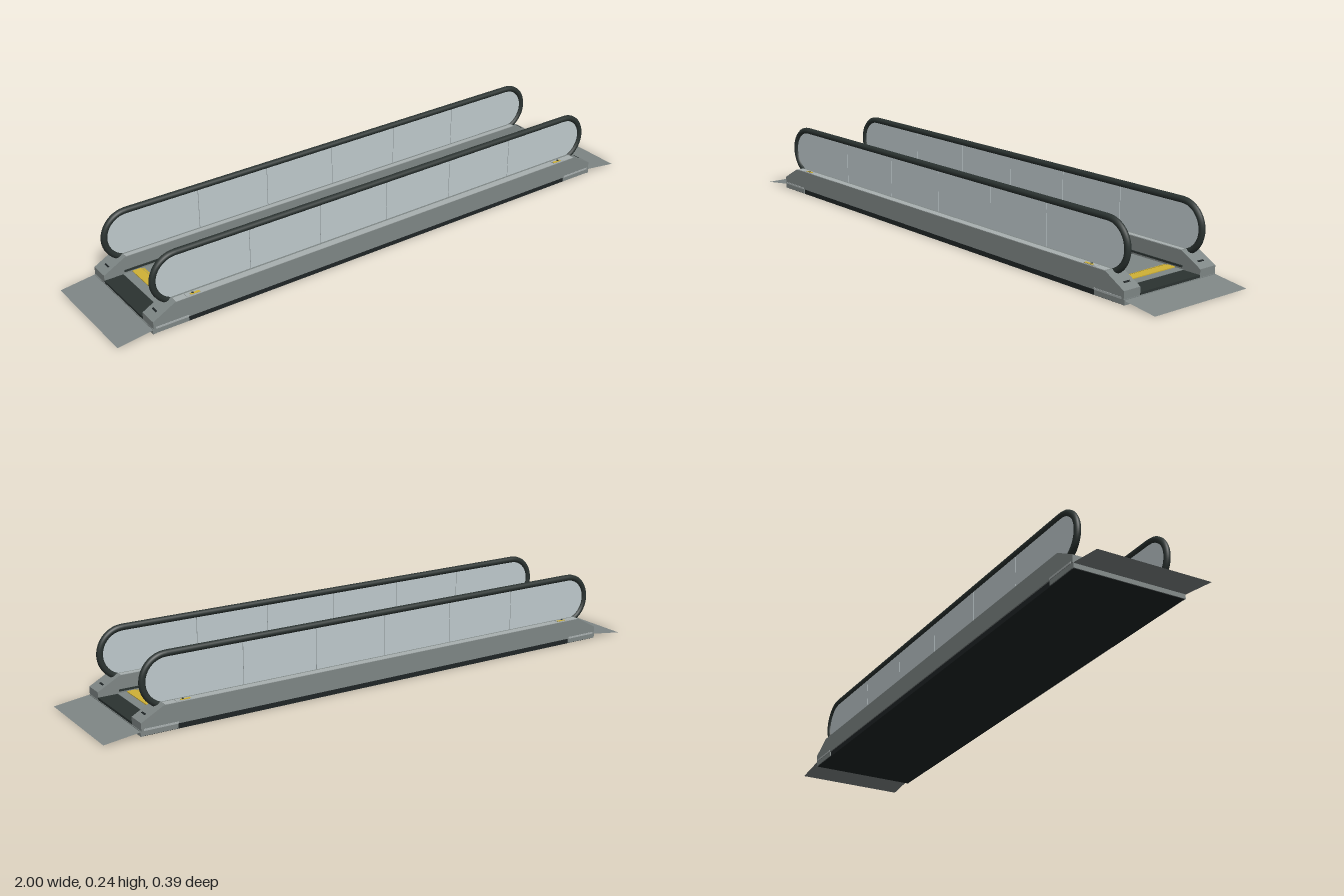
import * as THREE from 'three';

const mat = (name, color) => Object.assign(new THREE.MeshStandardMaterial({ color }), { name });

export function createModel() {
  const group = new THREE.Group();
  const steel = mat('steel', 0x7f8786);
  const trim = mat('light trim', 0xa9b0b0);
  const glass = mat('frosted glass', 0xbfcacd);
  const rubber = mat('black rubber', 0x2b3331);
  const dark = mat('dark underside', 0x1f2526);
  const yellow = mat('safety yellow', 0xd0b236);
  const ramp = mat('ramp steel', 0x7f8786);
  ramp.side = THREE.DoubleSide;

  const add = (parent, name, geometry, material) => {
    const mesh = new THREE.Mesh(geometry, material);
    mesh.name = name;
    parent.add(mesh);
    return mesh;
  };
  // Box given by its lower and upper limits
  const box = (parent, name, material, x0, x1, y0, y1, z0, z1) => {
    const mesh = add(parent, name, new THREE.BoxGeometry(x1 - x0, y1 - y0, z1 - z0), material);
    mesh.position.set((x0 + x1) / 2, (y0 + y1) / 2, (z0 + z1) / 2);
    return mesh;
  };
  const extrude = (shape, depth, curveSegments = 20) =>
    new THREE.ExtrudeGeometry(shape, { depth, bevelEnabled: false, curveSegments });

  // Floor pan and moving belt
  box(group, 'floorPan', dark, -0.88, 0.88, 0, 0.018, -0.188, 0.188);
  box(group, 'belt', steel, -0.755, 0.755, 0.018, 0.027, -0.125, 0.125);

  // Landing at each end
  for (const s of [-1, 1]) {
    const end = new THREE.Group();
    end.name = s > 0 ? 'leftLanding' : 'rightLanding';
    end.rotation.y = s > 0 ? 0 : Math.PI;
    group.add(end);
    box(end, 'combPlate', yellow, 0.755, 0.785, 0.018, 0.03, -0.122, 0.122);
    for (let i = 0; i < 30; i++) {
      const z = -0.116 + i * 0.008;
      box(end, 'combTooth', yellow, 0.745, 0.756, 0.026, 0.029, z - 0.002, z + 0.002);
    }
    box(end, 'landingPlate', steel, 0.785, 0.815, 0.018, 0.027, -0.125, 0.125);
    box(end, 'landingMat', rubber, 0.815, 0.88, 0.018, 0.026, -0.125, 0.125);
    box(end, 'endSill', steel, 0.872, 0.882, 0.001, 0.018, -0.191, 0.191);
    // Thin sloping ramp sheet
    const sheet = new THREE.PlaneGeometry(0.12, 0.384).rotateX(-Math.PI / 2);
    const p = sheet.attributes.position;
    for (let i = 0; i < p.count; i++) p.setY(i, p.getX(i) < 0 ? 0.016 : 0.0005);
    sheet.computeVertexNormals();
    add(end, 'ramp', sheet, ramp).position.x = 0.94;
  }

  // Newel and deck outline seen from the side
  const deckShape = new THREE.Shape([
    [-0.88, 0.018], [0.88, 0.018], [0.88, 0.043], [0.805, 0.084], [-0.805, 0.084], [-0.88, 0.043],
  ].map(([x, y]) => new THREE.Vector2(x, y)));

  // Rail and glass share one rounded outline
  const cx = 0.775, cy = 0.15, r = 0.08;
  const railPath = new THREE.CurvePath();
  const arc = (s) => {
    const pts = [];
    for (let i = 0; i <= 12; i++) {
      const a = -Math.PI / 2 + (Math.PI * i) / 12;
      pts.push(new THREE.Vector3(s * (cx + r * Math.cos(a)), cy + r * Math.sin(a), 0));
    }
    return new THREE.CatmullRomCurve3(s > 0 ? pts : pts.reverse());
  };
  railPath.add(arc(1));
  railPath.add(new THREE.LineCurve3(new THREE.Vector3(cx, cy + r, 0), new THREE.Vector3(-cx, cy + r, 0)));
  railPath.add(arc(-1));

  const endPane = new THREE.Shape();
  endPane.moveTo(0.521, cy - r);
  endPane.lineTo(cx, cy - r);
  endPane.absarc(cx, cy, r, -Math.PI / 2, Math.PI / 2, false);
  endPane.lineTo(0.521, cy + r);

  // Balustrade along each side
  for (const s of [-1, 1]) {
    const side = new THREE.Group();
    side.name = s > 0 ? 'frontBalustrade' : 'backBalustrade';
    side.rotation.y = s > 0 ? 0 : Math.PI;
    group.add(side);

    add(side, 'deck', extrude(deckShape, 0.066), steel).position.z = 0.126;
    box(side, 'outerDeckTrim', trim, -0.8, 0.8, 0.083, 0.0855, 0.167, 0.191);
    box(side, 'innerDeckTrim', trim, -0.8, 0.8, 0.083, 0.0855, 0.128, 0.144);
    box(side, 'skirtBrush', rubber, -0.81, 0.81, 0.033, 0.039, 0.122, 0.127);
    add(side, 'handrail', new THREE.TubeGeometry(railPath, 300, 0.0105, 10, false), rubber).position.z = 0.155;

    // Glass panes with narrow joints
    for (let i = -2; i < 2; i++) {
      box(side, 'glassPane', glass, i * 0.26 + 0.001, i * 0.26 + 0.259, 0.07, cy + r, 0.152, 0.158);
    }
    for (const e of [-1, 1]) {
      const pane = add(side, 'endGlassPane', extrude(endPane, 0.006), glass);
      pane.position.z = e > 0 ? 0.152 : 0.158;
      pane.rotation.y = e > 0 ? 0 : Math.PI;
      // Sensor on the deck
      box(side, 'sensorPlate', trim, e * 0.737 - 0.024, e * 0.737 + 0.024, 0.085, 0.087, 0.17, 0.188);
      box(side, 'sensorLabel', yellow, e * 0.73 - 0.016, e * 0.73 + 0.016, 0.086, 0.088, 0.178, 0.187);
      add(side, 'sensorButton', new THREE.CylinderGeometry(0.004, 0.004, 0.003, 12), rubber)
        .position.set(e * 0.737, 0.0875, 0.179);
      // Handrail inlet on the sloping newel face
      const inlet = box(side, 'handrailInlet', dark, -0.003, 0.003, -0.001, 0.001, 0.143, 0.167);
      inlet.position.x = e * 0.854;
      inlet.position.y = 0.0575;
      inlet.rotation.z = -e * 0.5;
      // Pale kick plate and end foot
      const x0 = e > 0 ? 0.76 : -0.872;
      box(side, 'kickPlate', trim, x0, x0 + 0.112, 0.018, 0.024, 0.19, 0.1935);
      box(side, 'endFoot', steel, x0, x0 + 0.112, 0.002, 0.018, 0.185, 0.191);
    }
  }
  return group;
}
